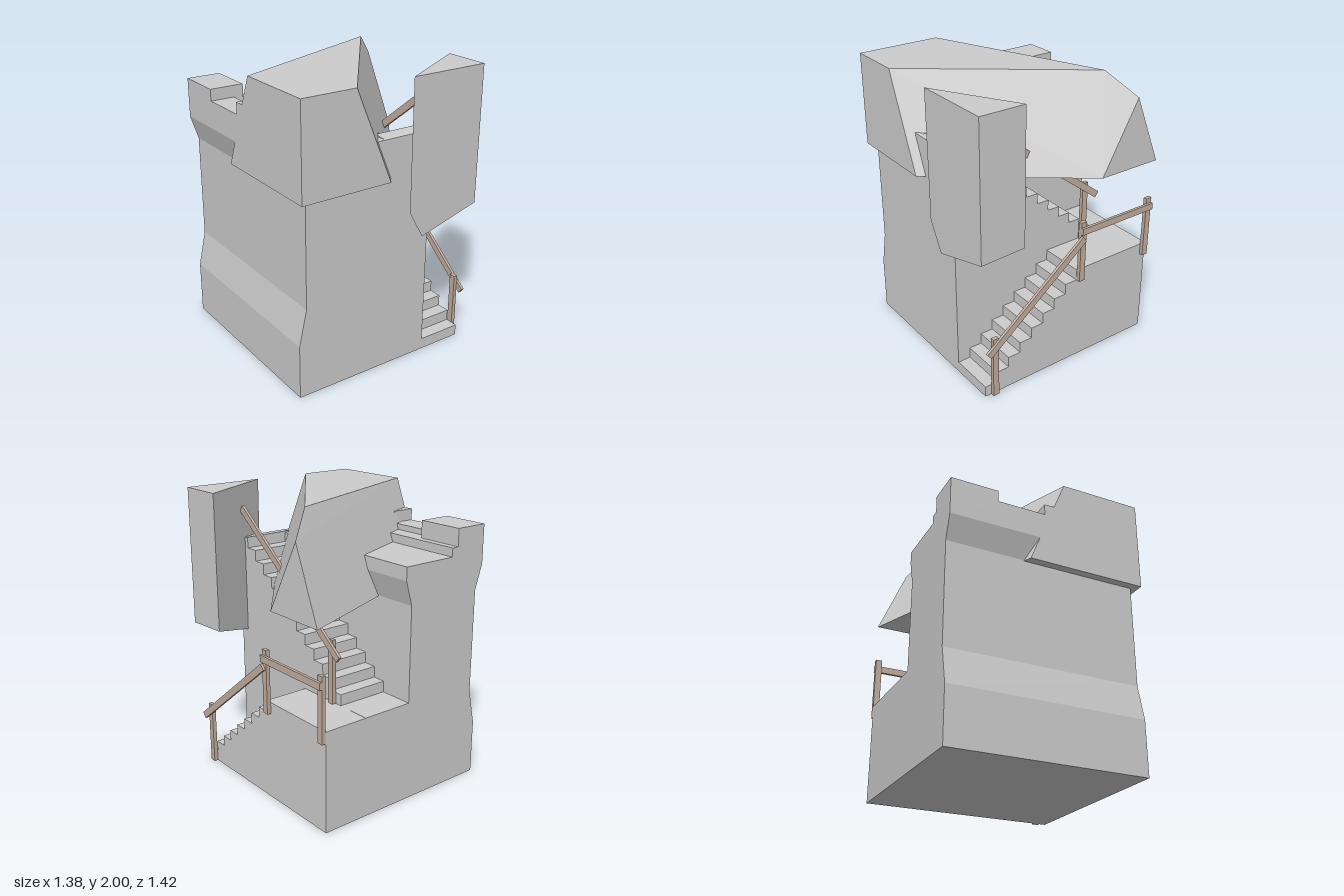
import * as THREE from 'three';
import { ConvexGeometry } from 'three/addons/geometries/ConvexGeometry.js';

const stone = new THREE.MeshStandardMaterial({ color: 0xcccccc, flatShading: true });
const wood = new THREE.MeshStandardMaterial({ color: 0xc2ae9e, flatShading: true });

const BACK = -0.71, FRONT = 0.66;
const RISE = 0.0777, RUN = 0.0935, LANDING = 0.7;

export function createModel() {
  const model = new THREE.Group();

  const add = (name, geometry, material = stone) => {
    const mesh = new THREE.Mesh(geometry, material);
    mesh.name = name;
    model.add(mesh);
    return mesh;
  };
  // Box given by its minimum and maximum corners
  const box = (name, [x0, y0, z0], [x1, y1, z1], material) =>
    add(name, new THREE.BoxGeometry(x1 - x0, y1 - y0, z1 - z0), material)
      .position.set((x0 + x1) / 2, (y0 + y1) / 2, (z0 + z1) / 2);
  const extrude = (points, depth) => new THREE.ExtrudeGeometry(
    new THREE.Shape(points.map(([u, v]) => new THREE.Vector2(u, v))),
    { depth, bevelEnabled: false });
  // Profile of [z, y] points extruded along x
  const extrudeX = (name, points, x0, x1) =>
    add(name, extrude(points.map(([z, y]) => [-z, y]), x1 - x0)
      .rotateY(Math.PI / 2).translate(x0, 0, 0));
  const hull = (name, points) =>
    add(name, new ConvexGeometry(points.map((p) => new THREE.Vector3(...p))));

  // Tower wall: battered foot and flared head
  add('towerWall', extrude([
    [-0.69, 0], [-0.05, 0], [-0.05, 1.36], [0, 1.53], [0, 1.62],
    [-0.69, 1.62], [-0.69, 1.53], [-0.635, 1.36], [-0.635, 0.63], [-0.69, 0.38],
  ], FRONT - BACK).translate(0, 0, BACK));

  // Parapet along the tower's outer edge
  box('parapetWalk', [-0.52, 1.62, BACK], [-0.4, 1.68, 0.2]);
  box('cornerMerlon', [-0.69, 1.62, BACK], [-0.45, 1.8, -0.375]);
  box('crenelSill', [-0.69, 1.62, -0.375], [-0.52, 1.72, -0.03]);
  box('sideMerlon', [-0.69, 1.62, -0.03], [-0.52, 1.8, 0.3]);

  // Lower flight climbs to the back and ends in the landing
  const lower = [[FRONT, 0]];
  for (let i = 0; i < 9; i++) {
    const z = FRONT - i * RUN, y = (i + 1) * RISE;
    lower.push([z, y], [i === 8 ? BACK : z - RUN, y]);
  }
  lower.push([BACK, 0]);
  extrudeX('lowerStairs', lower, 0.32, 0.64);

  // Upper flight turns round and climbs to the front
  const upper = [[BACK, 0], [BACK, LANDING]];
  for (let i = 0; i < 12; i++) {
    const z = -0.465 + i * RUN, y = LANDING + i * RISE;
    upper.push([z, y], [z, y + 0.92 / 12]);
  }
  upper.push([FRONT, 1.62], [FRONT, 0]);
  extrudeX('upperStairs', upper, -0.05, 0.32);

  // Roof block lying diagonally across the tower
  hull('roof', [
    [-0.69, 1.355, 0.71], [-0.035, 1.355, 0.71], [0.69, 1.355, -0.23],
    [0.69, 1.355, -0.7], [-0.69, 1.355, -0.14],
    [-0.69, 2, 0.71], [-0.305, 2, 0.71], [0.515, 2, -0.36], [-0.69, 2, 0.125],
    [0.69, 1.84, -0.5],
  ]);

  // Overhanging wedge above the stairs
  hull('overhangingBlock', [
    [0.12, 2, 0.71], [0.69, 2, 0.71], [0.69, 2, 0.385],
    [0.125, 1.11, 0.71], [0.235, 0.915, 0.71], [0.69, 1.045, 0.71],
    [0.69, 1.06, 0.385], [0.31, 0.945, 0.6],
  ]);

  // Railing posts: x, bottom, top, centre z
  for (const [x, y0, y1, z] of [
    [0.64, 0, 0.45, 0.592], [0.64, 0.62, 1.065, -0.112],
    [0.64, 0.62, 1.065, -0.688], [0.32, 0.7, 1.14, -0.392],
  ]) box('railingPost', [x, y0, z - 0.022], [x + 0.028, y1, z + 0.022], wood);

  // Handrails
  const rail = (name, x, [z0, y0], [z1, y1]) => {
    const mesh = add(name, new THREE.BoxGeometry(0.02, 0.048, Math.hypot(z1 - z0, y1 - y0)), wood);
    mesh.position.set(x, (y0 + y1) / 2, (z0 + z1) / 2);
    mesh.rotation.x = -Math.atan2(y1 - y0, z1 - z0);
  };
  rail('landingHandrail', 0.675, [BACK, 1.005], [-0.09, 1.005]);
  rail('lowerHandrail', 0.675, [-0.11, 0.95], [0.655, 0.345]);
  rail('upperHandrail', 0.355, [-0.485, 1.03], [0.565, 1.84]);

  return model;
}
